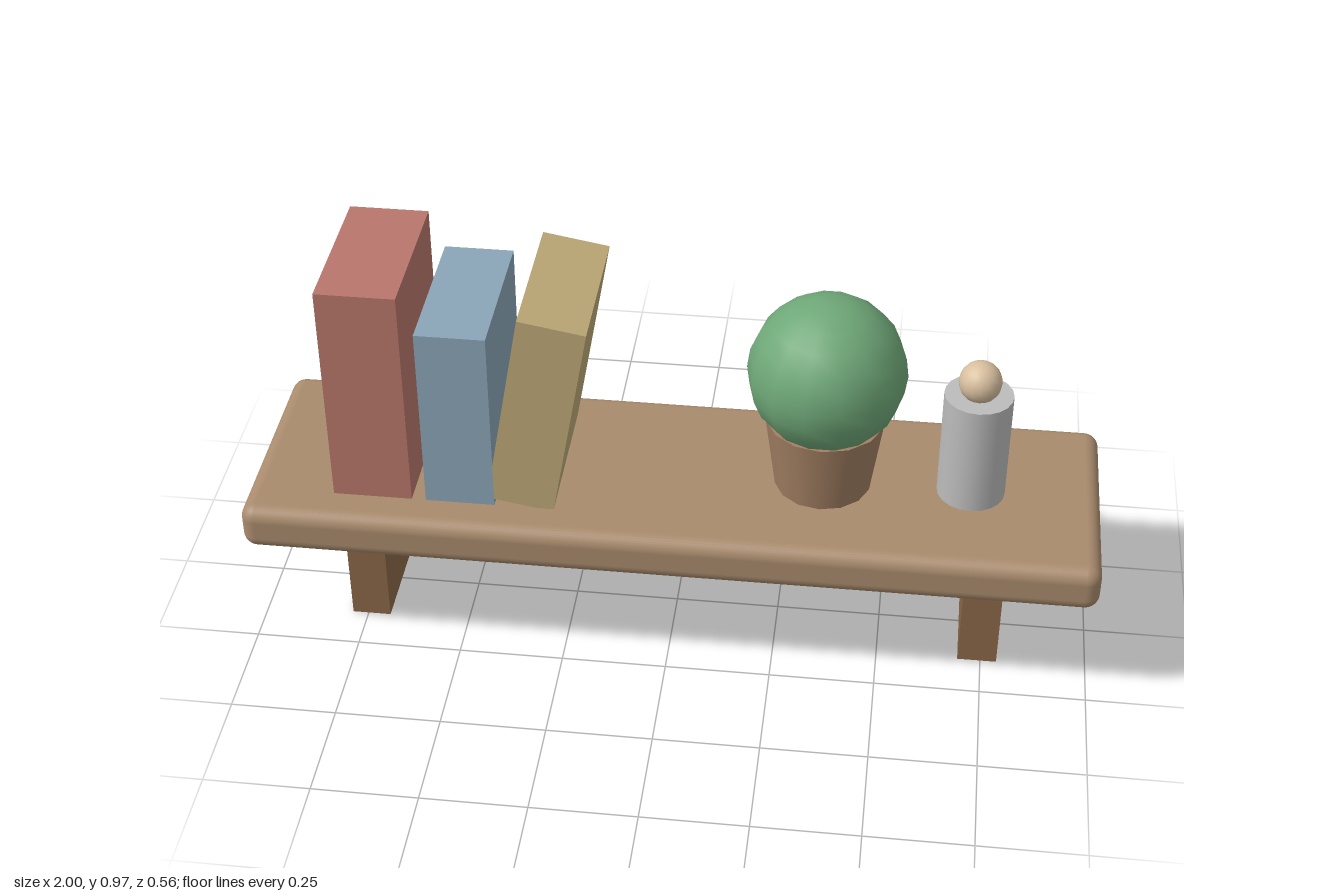
import * as THREE from 'three';
import { RoundedBoxGeometry } from 'three/addons/geometries/RoundedBoxGeometry.js';

const paint = (name, color) => {
  const m = new THREE.MeshStandardMaterial({ color });
  m.name = name;
  return m;
};

export function createModel() {
  const group = new THREE.Group();
  group.name = 'wallShelf';
  const add = (name, geometry, material, x, y, z = 0) => {
    const mesh = new THREE.Mesh(geometry, material);
    mesh.name = name;
    mesh.position.set(x, y, z);
    group.add(mesh);
    return mesh;
  };

  const top = 0.408; // upper face of the board

  // Board with rounded edges
  add('board', new RoundedBoxGeometry(2, 0.115, 0.56, 4, 0.035), paint('lightWood', 0xa98b6d), 0, top - 0.0575);

  // Two brackets, flush with the back of the board
  const darkWood = paint('darkWood', 0x8b6848);
  for (const side of [-1, 1]) {
    add(side > 0 ? 'leftBracket' : 'rightBracket', new THREE.BoxGeometry(0.093, 0.296, 0.42), darkWood, side * 0.742, 0.148, -0.07);
  }

  // Two upright books and one leaning on them
  const depth = 0.373;
  const book = (name, w, h, material, x, y = top + h / 2) =>
    add(name, new THREE.BoxGeometry(w, h, depth), material, x, y);
  book('redBook', 0.186, 0.56, paint('red', 0xb9776c), -0.698);
  book('blueBook', 0.163, 0.466, paint('blue', 0x8aa6b9), -0.49);
  book('leaningBook', 0.158, 0.51, paint('yellow', 0xbeaa78), -0.303, 0.666).rotation.z = -0.175;

  // Potted plant
  add('pot', new THREE.CylinderGeometry(0.14, 0.114, 0.187, 14), paint('clay', 0xa27f62), 0.346, top + 0.0935);
  add('bush', new THREE.SphereGeometry(0.185, 14, 12), paint('green', 0x6fa878), 0.346, 0.722);

  // Jar with a ball stopper
  add('jar', new THREE.CylinderGeometry(0.08, 0.08, 0.279, 20), paint('grey', 0xbcbcbc), 0.695, top + 0.1395);
  add('stopper', new THREE.SphereGeometry(0.05, 16, 12), paint('cream', 0xd8bf9f), 0.695, 0.722);

  return group;
}
